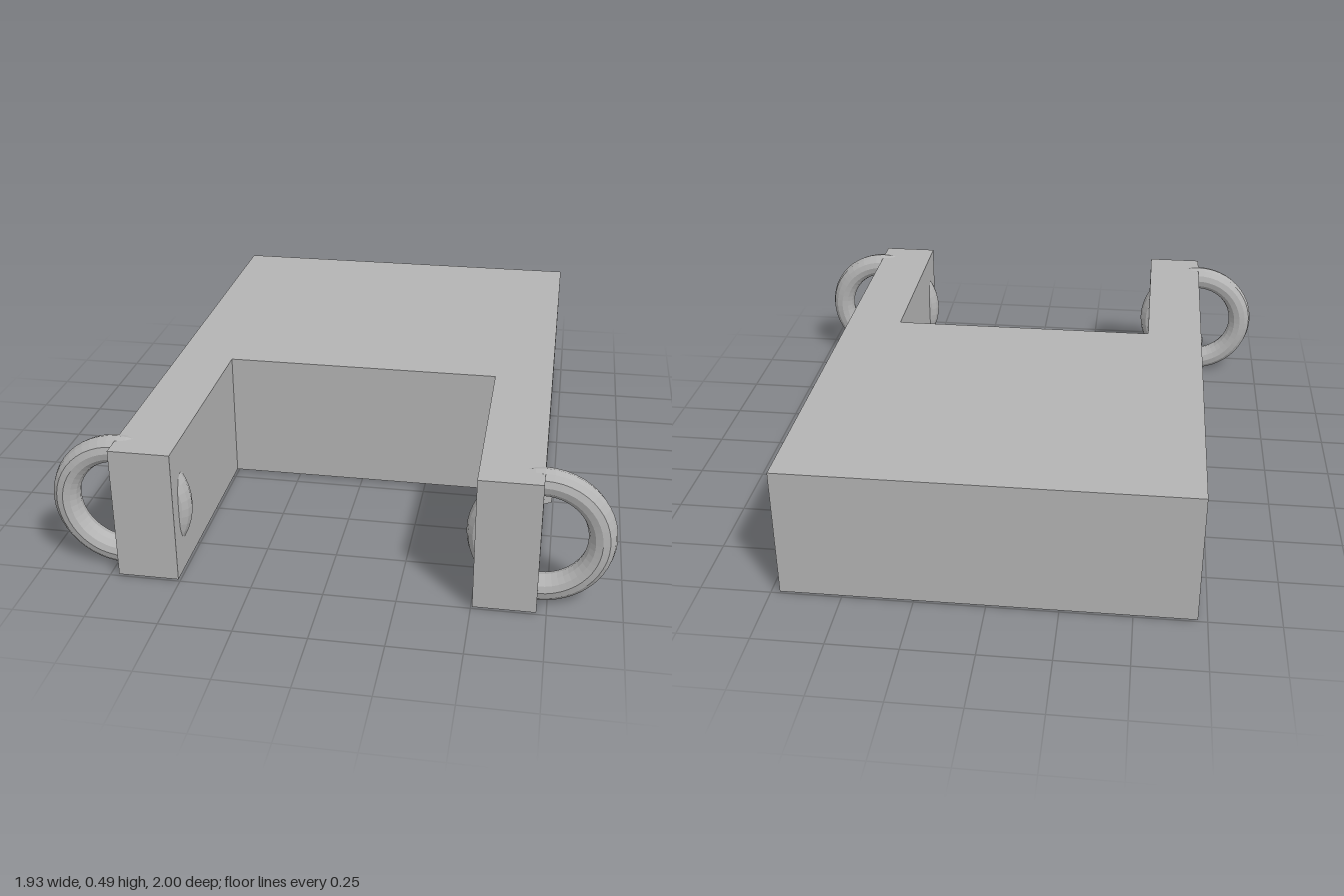
import * as THREE from 'three';

export function createModel() {
  const group = new THREE.Group();
  const grey = new THREE.MeshStandardMaterial({ color: 0xb4b4b4 });
  grey.name = 'plain grey';
  const ringGrey = grey.clone();
  ringGrey.name = 'faceted grey';
  ringGrey.flatShading = true;

  const add = (name, geometry, material, x, y, z) => {
    const mesh = new THREE.Mesh(geometry, material);
    mesh.name = name;
    mesh.position.set(x, y, z);
    group.add(mesh);
  };

  // U-shaped slab, drawn in plan (shape y = -z) and extruded upward
  const W = 0.717, N = 0.505, bottom = 0.01, height = 0.48;
  const plan = new THREE.Shape([
    [-W, -1], [-N, -1], [-N, -0.2], [N, -0.2],
    [N, -1], [W, -1], [W, 1], [-W, 1],
  ].map(([x, y]) => new THREE.Vector2(x, y)));
  const body = new THREE.ExtrudeGeometry(plan, { depth: height, bevelEnabled: false });
  body.rotateX(-Math.PI / 2);
  add('body', body, grey, 0, bottom, 0);

  // Ring through each arm and a small hexagonal stud behind it
  const ring = new THREE.TorusGeometry(0.2, 0.047, 12, 48);
  const stud = new THREE.CylinderGeometry(0.03, 0.03, 0.08, 6);
  for (const [side, s] of [['left', 1], ['right', -1]]) {
    add(side + 'Ring', ring, ringGrey, s * W, 0.25, 0.9);
    add(side + 'Stud', stud, ringGrey, s * W, 0.25, 0.6);
  }
  return group;
}
